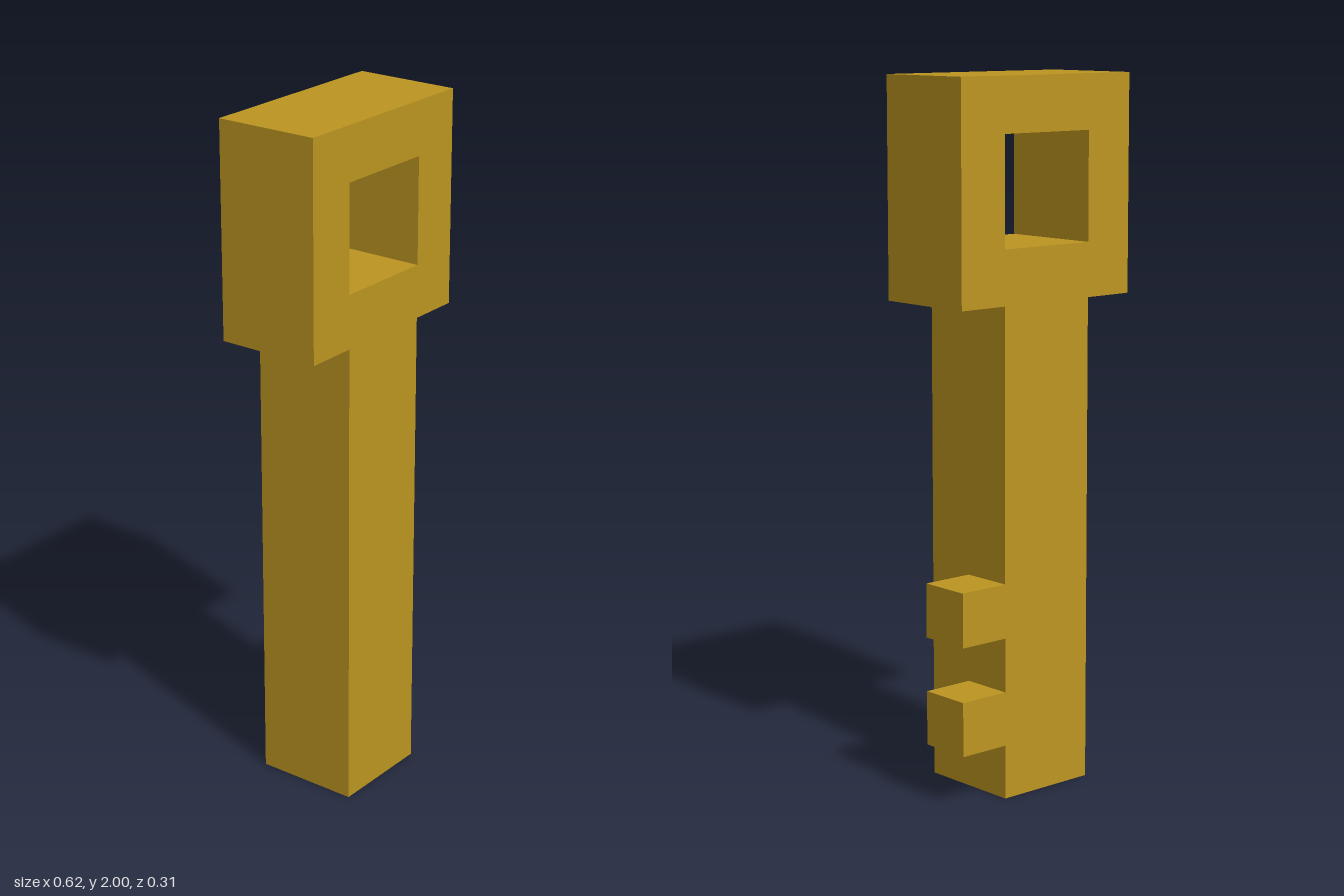
import * as THREE from 'three';

// The key sits on a grid 13 units tall
const U = 2 / 13;

export function createModel() {
  const key = new THREE.Group();
  key.name = 'key';

  const gold = new THREE.MeshStandardMaterial({ color: 0xbd9621 });
  gold.name = 'gold';

  const toPoints = (pairs) => pairs.map(([x, y]) => new THREE.Vector2(x * U, y * U));

  // Shaft and square bow in one outline, with a square hole through the bow
  const outline = new THREE.Shape(toPoints([
    [-1, 0], [1, 0], [1, 9], [2, 9], [2, 13], [-2, 13], [-2, 9], [-1, 9],
  ]));
  outline.holes.push(new THREE.Path(toPoints([[-1, 10], [-1, 12], [1, 12], [1, 10]])));
  const bodyGeometry = new THREE.ExtrudeGeometry(outline, { depth: 2 * U, bevelEnabled: false });
  bodyGeometry.translate(0, 0, -U);
  const body = new THREE.Mesh(bodyGeometry, gold);
  body.name = 'shaftAndBow';
  key.add(body);

  // Two cube teeth on the left side, flush with the back
  const toothGeometry = new THREE.BoxGeometry(U, U, U);
  [['lowerTooth', 1.5], ['upperTooth', 3.5]].forEach(([name, y]) => {
    const tooth = new THREE.Mesh(toothGeometry, gold);
    tooth.name = name;
    tooth.position.set(1.5 * U, y * U, -0.5 * U);
    key.add(tooth);
  });

  return key;
}
